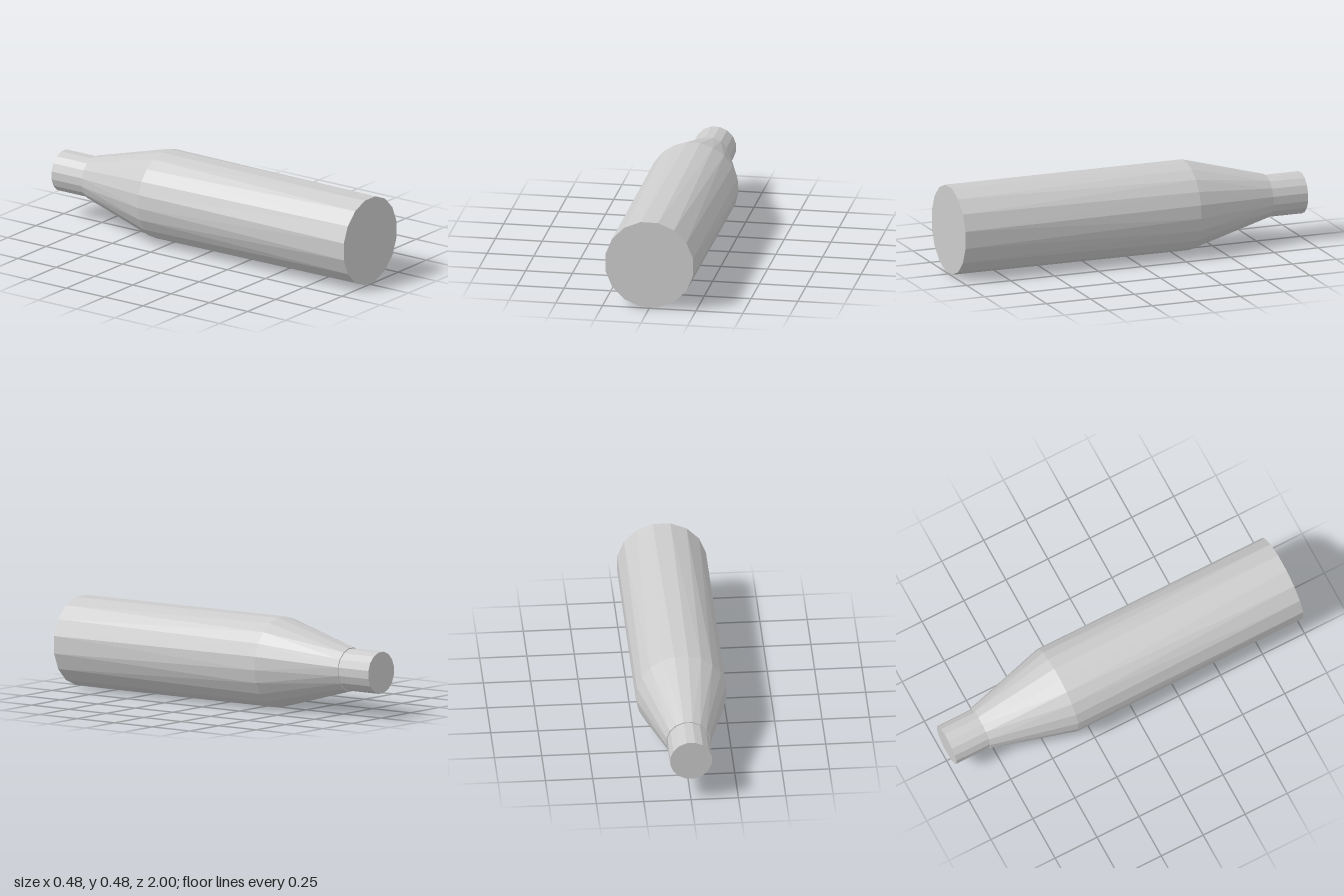
import * as THREE from 'three';

const CENTRE_Y = 0.241;
const material = new THREE.MeshStandardMaterial({ color: 0xcccccc, flatShading: true });

// A regular ring of points about the long axis; turn is a fraction of one side.
function makeRing(z, radius, sides, turn = 0) {
  const at = (i) => ((i + turn) / sides) * Math.PI * 2;
  const point = (i) => [radius * Math.cos(at(i)), CENTRE_Y + radius * Math.sin(at(i)), z];
  return { z, sides, at, point };
}

// Skins two rings, which may differ in side count, by stepping round in angle order.
function skin(front, back, capFront, capBack) {
  const positions = [];
  const tri = (a, b, c) => positions.push(...a, ...b, ...c);
  let i = 0, j = 0;
  while (i < front.sides || j < back.sides) {
    const stepFront = j >= back.sides || (i < front.sides && front.at(i + 1) <= back.at(j + 1));
    if (stepFront) {
      tri(front.point(i), back.point(j), front.point(i + 1));
      i++;
    } else {
      tri(front.point(i), back.point(j), back.point(j + 1));
      j++;
    }
  }
  if (capFront) {
    for (let k = 0; k < front.sides; k++) tri([0, CENTRE_Y, front.z], front.point(k), front.point(k + 1));
  }
  if (capBack) {
    for (let k = 0; k < back.sides; k++) tri([0, CENTRE_Y, back.z], back.point(k + 1), back.point(k));
  }
  const geometry = new THREE.BufferGeometry();
  geometry.setAttribute('position', new THREE.Float32BufferAttribute(positions, 3));
  geometry.computeVertexNormals();
  return geometry;
}

export function createModel() {
  const group = new THREE.Group();
  const add = (name, geometry) => {
    const mesh = new THREE.Mesh(geometry, material);
    mesh.name = name;
    group.add(mesh);
  };

  const base = makeRing(1, 0.239, 16, 0.5);
  const shoulder = makeRing(-0.34, 0.241, 21, 0.75);
  const collar = makeRing(-0.8, 0.117, 16, 0.5);
  const neckStart = makeRing(-0.8, 0.112, 16, 0.5);
  const neckEnd = makeRing(-1, 0.112, 16, 0.5);

  // Long barrel, closed at its flat base
  add('body', skin(base, shoulder, true, false));
  // Taper, closed by a small step around the neck
  add('taper', skin(shoulder, collar, false, true));
  // Short straight neck with a flat end
  add('neck', skin(neckStart, neckEnd, false, true));

  return group;
}
